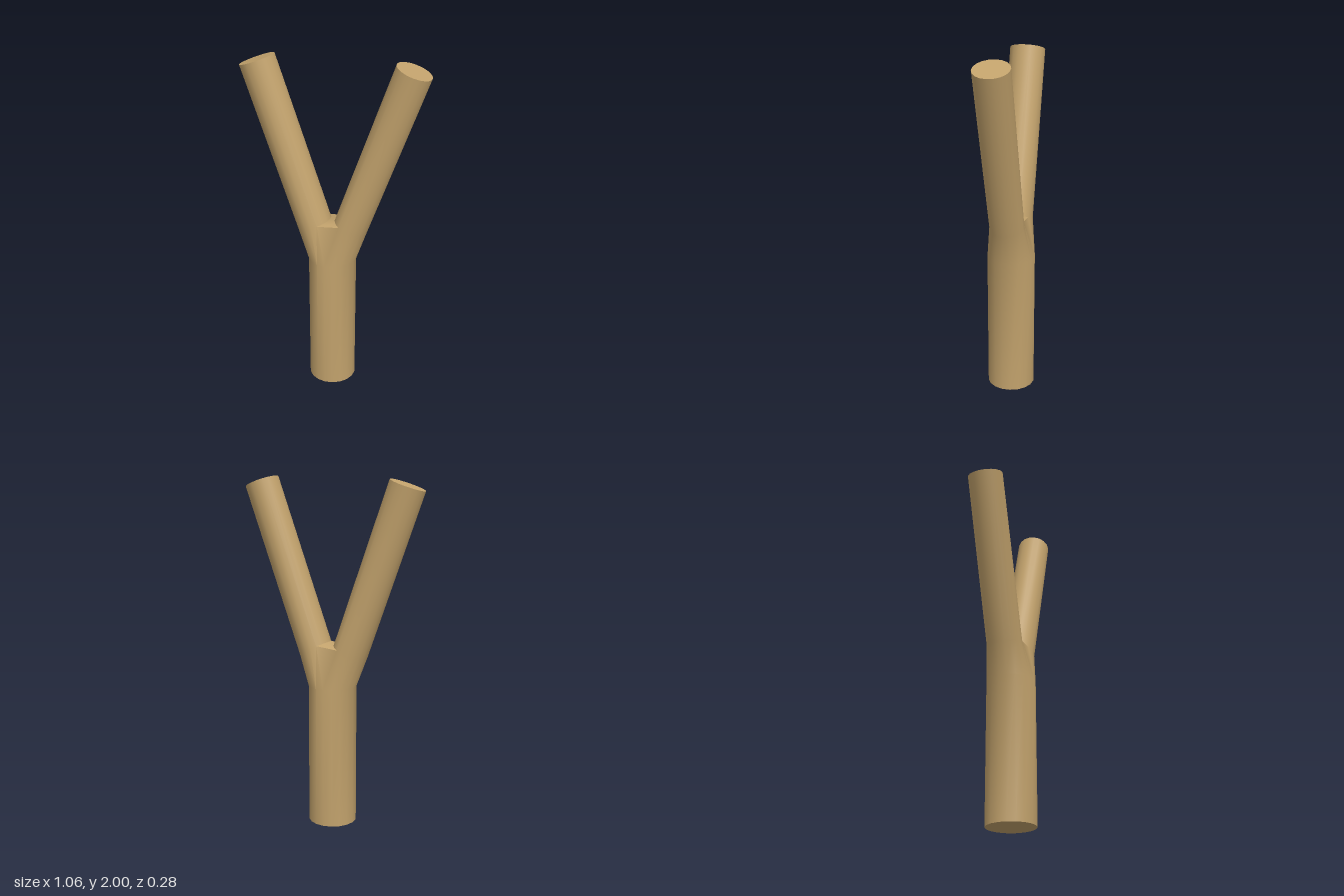
import * as THREE from 'three';
import { toCreasedNormals } from 'three/addons/utils/BufferGeometryUtils.js';

const SIDES = 18;

// Ring of points, counter-clockwise from above, tilted by `tilt` in the xy plane
function ring(x, y, r, tilt = 0, phase = 0) {
  return Array.from({ length: SIDES }, (_, k) => {
    const a = phase + (k / SIDES) * Math.PI * 2;
    const d = r * Math.cos(a);
    return new THREE.Vector3(x + d * Math.cos(tilt), y + d * Math.sin(tilt), -r * Math.sin(a));
  });
}

export function createModel() {
  const group = new THREE.Group();
  group.name = 'forkedStick';
  const wood = new THREE.MeshStandardMaterial({ color: 0xc2a26c });
  wood.name = 'wood';

  const pos = [];
  const tri = (a, b, c) => {
    if (a !== b && b !== c && c !== a) [a, b, c].forEach((p) => pos.push(p.x, p.y, p.z));
  };
  const quad = (a, b, c, d) => { tri(a, b, c); tri(a, c, d); };
  const at = (loop, i) => loop[(i + SIDES) % SIDES];
  const tube = (lo, hi) => {
    for (let i = 0; i < SIDES; i++) quad(lo[i], at(lo, i + 1), at(hi, i + 1), hi[i]);
  };
  const cap = (loop, up) => {
    for (let i = 1; i < SIDES - 1; i++) {
      if (up) tri(loop[0], loop[i], loop[i + 1]);
      else tri(loop[0], loop[i + 1], loop[i]);
    }
  };

  // Handle
  const phase = Math.PI / SIDES;
  const foot = ring(-0.003, 0, 0.139, 0, phase);
  const neck = ring(-0.003, 0.815, 0.139, 0, phase);
  cap(foot, false);
  tube(foot, neck);

  // Two prongs
  const tilt = 0.338;
  const leftBase = ring(0.109, 1.037, 0.0985, -tilt);
  const leftTip = ring(0.4375, 1.967, 0.0985, -tilt);
  const rightBase = ring(-0.114, 1.022, 0.102, tilt);
  const rightTip = ring(-0.4375, 1.947, 0.102, tilt);
  tube(leftBase, leftTip);
  cap(leftTip, true);
  tube(rightBase, rightTip);
  cap(rightTip, true);

  // Fork: handle blends into the outer arc of each prong
  for (const [base, start, neckStart] of [[leftBase, 12, 13], [rightBase, 3, 4]]) {
    for (let i = 0; i < 12; i++) {
      const n0 = at(neck, neckStart + Math.round(i * 0.75));
      const n1 = at(neck, neckStart + Math.round((i + 1) * 0.75));
      const b0 = at(base, start + i), b1 = at(base, start + i + 1);
      if (n0 === n1) tri(n0, b1, b0);
      else quad(n0, n1, b1, b0);
    }
  }
  tri(neck[13], leftBase[12], rightBase[15]);
  tri(neck[4], rightBase[3], leftBase[6]);

  // Web between the prongs
  for (let i = 0; i < 6; i++) {
    quad(at(rightBase, 3 - i), at(rightBase, 2 - i), leftBase[7 + i], leftBase[6 + i]);
  }

  const geometry = new THREE.BufferGeometry();
  geometry.setAttribute('position', new THREE.Float32BufferAttribute(pos, 3));
  const stick = new THREE.Mesh(toCreasedNormals(geometry, 0.7), wood);
  stick.name = 'handleAndProngs';
  group.add(stick);
  return group;
}
